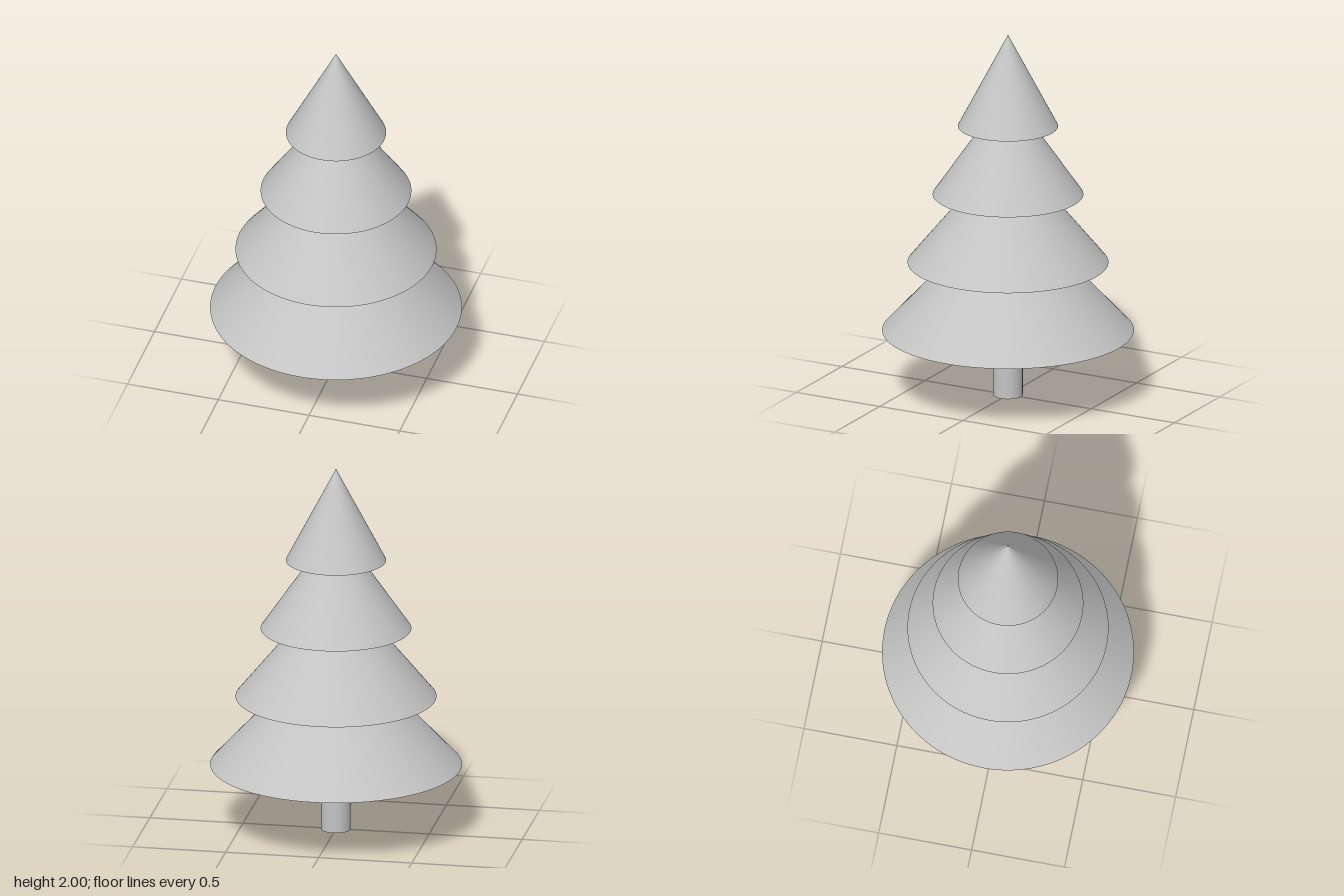
import * as THREE from 'three';

export function createModel() {
  const tree = new THREE.Group();
  tree.name = 'coniferTree';
  const grey = new THREE.MeshStandardMaterial({ color: 0xc4c4c4, side: THREE.DoubleSide });
  grey.name = 'plain grey';

  // Open tube trunk reaching the lowest tier
  const trunkHeight = 0.36;
  const trunk = new THREE.Mesh(
    new THREE.CylinderGeometry(0.078, 0.078, trunkHeight, 48, 1, true), grey);
  trunk.name = 'trunk';
  trunk.position.y = trunkHeight / 2;
  tree.add(trunk);

  // Overlapping cones, lowest first: [base radius, base height, apex height]
  const tiers = [
    [0.665, 0.36, 1.08],
    [0.531, 0.737, 1.385],
    [0.398, 1.115, 1.69],
    [0.265, 1.493, 2.0],
  ];
  tiers.forEach(([radius, base, apex], i) => {
    const tier = new THREE.Mesh(new THREE.ConeGeometry(radius, apex - base, 96), grey);
    tier.name = `branchTier${i + 1}`;
    tier.position.y = (base + apex) / 2;
    tree.add(tier);
  });

  return tree;
}
